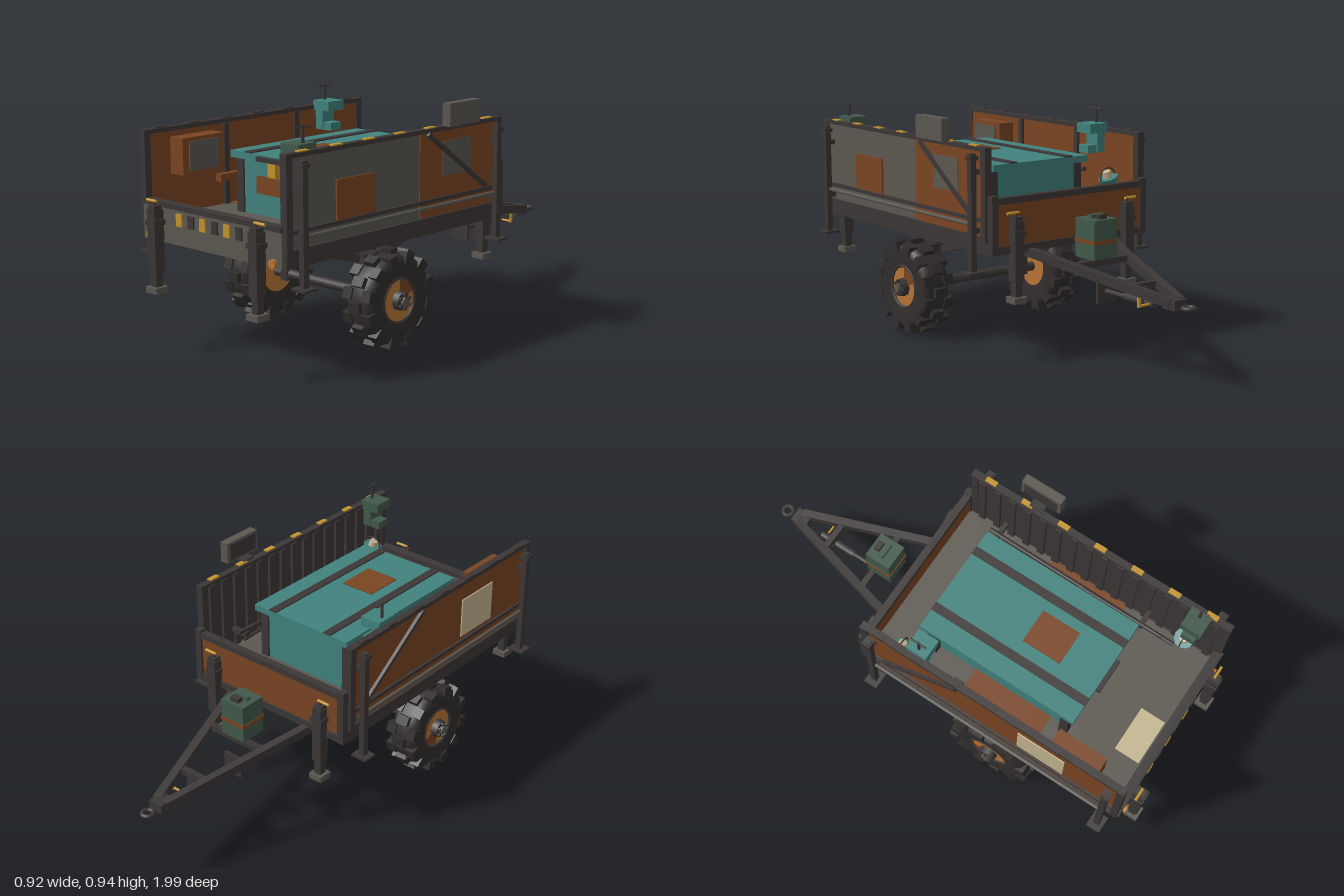
import * as THREE from 'three';

const make = (name, color) => {
  const m = new THREE.MeshStandardMaterial({ color });
  m.name = name;
  return m;
};

export function createModel() {
  const root = new THREE.Group();
  root.name = 'cargoTrailer';
  const dark = make('darkSteel', 0x3d3737), grey = make('greyPanel', 0x5b5850), rust = make('rust', 0x7a4522),
    orange = make('orangePaint', 0xb87436), teal = make('tealPaint', 0x41827d), green = make('greenPaint', 0x41594a),
    yellow = make('yellowPaint', 0xc4942e), cream = make('cream', 0xc4b590), tyre = make('tyreRubber', 0x312d2c);

  const add = (name, geo, mat, x = 0, y = 0, z = 0, parent = root) => {
    const m = new THREE.Mesh(geo, mat);
    m.name = name;
    m.position.set(x, y, z);
    parent.add(m);
    return m;
  };
  // box given by its limits on each axis
  const box = (name, mat, x0, x1, y0, y1, z0, z1, parent = root) =>
    add(name, new THREE.BoxGeometry(Math.abs(x1 - x0), y1 - y0, z1 - z0), mat, (x0 + x1) / 2, (y0 + y1) / 2, (z0 + z1) / 2, parent);
  // square bar between two points
  const bar = (name, mat, a, b, w, h = w, parent = root) => {
    const p = new THREE.Vector3(...a), q = new THREE.Vector3(...b);
    const m = add(name, new THREE.BoxGeometry(w, h, p.distanceTo(q)), mat, 0, 0, 0, parent);
    m.position.copy(p).lerp(q, 0.5);
    m.lookAt(q);
    return m;
  };
  const rod = (name, mat, a, b, r, parent = root) => {
    const p = new THREE.Vector3(...a), q = new THREE.Vector3(...b);
    const m = add(name, new THREE.CylinderGeometry(r, r, p.distanceTo(q), 10), mat, 0, 0, 0, parent);
    m.position.copy(p).lerp(q, 0.5);
    m.quaternion.setFromUnitVectors(new THREE.Vector3(0, 1, 0), q.sub(p).normalize());
    return m;
  };

  // Deck and underframe
  box('deck', grey, -0.38, 0.38, 0.48, 0.5, -0.27, 0.92);
  box('deckPatchTop', rust, -0.37, 0.37, 0.5, 0.504, 0.14, 0.5);
  box('deckPatchBottom', rust, -0.19, 0.19, 0.476, 0.48, 0.14, 0.5);
  box('floorCreamPatch', cream, -0.17, 0.03, 0.5, 0.505, 0.78, 0.89);
  for (const s of [-1, 1]) {
    box('sideRail', dark, s * 0.35, s * 0.39, 0.43, 0.48, -0.27, 0.92);
    box('chassisRail', dark, s * 0.2, s * 0.235, 0.42, 0.48, -0.27, 0.92);
  }
  for (const z of [-0.2, 0.06, 0.33, 0.58, 0.82]) box('crossMember', dark, -0.36, 0.36, 0.435, 0.48, z - 0.018, z + 0.018);

  // Front bumper with warning blocks and round reflectors
  box('frontBeam', grey, -0.38, 0.38, 0.43, 0.565, 0.905, 0.935);
  box('frontBeamCap', dark, -0.38, 0.38, 0.565, 0.585, 0.9, 0.94);
  for (let i = 0; i < 6; i++) {
    const x = -0.168 + i * 0.066;
    box('warningBlock', i % 2 ? dark : yellow, x - 0.016, x + 0.016, 0.505, 0.553, 0.935, 0.942);
  }
  for (const s of [-1, 1]) {
    add('reflector', new THREE.CylinderGeometry(0.018, 0.018, 0.014, 12), orange, s * 0.338, 0.448, 0.94).rotation.x = Math.PI / 2;
  }

  // Tailgate
  box('tailgate', rust, -0.37, 0.37, 0.45, 0.63, -0.285, -0.268);
  box('tailgateTopRail', dark, -0.38, 0.38, 0.625, 0.65, -0.292, -0.262);
  box('tailgateBottomRail', dark, -0.38, 0.38, 0.43, 0.46, -0.292, -0.262);
  for (const s of [-1, 1]) box('tailgatePost', dark, s * 0.36, s * 0.39, 0.43, 0.66, -0.295, -0.262);

  // Side walls
  for (const s of [-1, 1]) {
    const wall = new THREE.Group();
    wall.name = s > 0 ? 'leftWall' : 'rightWall';
    root.add(wall);
    const wb = (n, m, x0, x1, ...r) => box(n, m, s * x0, s * x1, ...r, wall);
    wb('outerPanel', s > 0 ? grey : rust, 0.383, 0.391, 0.485, 0.835, -0.255, 0.92);
    wb('innerPanel', s > 0 ? dark : rust, 0.376, 0.383, 0.485, 0.835, -0.255, 0.92);
    wb('topRail', dark, 0.37, 0.4, 0.828, 0.845, -0.265, 0.93);
    wb('bottomRail', dark, 0.37, 0.402, 0.48, 0.5, -0.265, 0.93);
    wb('middleRail', dark, 0.39, 0.402, 0.555, 0.57, -0.25, 0.92);
    for (const z of [-0.25, 0.915]) wb('endPost', dark, 0.37, 0.402, 0.48, 0.845, z - 0.015, z + 0.015);
    bar('diagonalBrace', dark, [s * 0.4, 0.825, 0.18], [s * 0.4, 0.575, -0.17], 0.014, 0.016, wall);
    if (s > 0) {
      wb('rustPatchLarge', rust, 0.391, 0.395, 0.485, 0.828, -0.245, 0.22);
      wb('greyPatch', grey, 0.395, 0.398, 0.65, 0.785, -0.08, 0.09);
      wb('rustPatchSmall', rust, 0.391, 0.398, 0.57, 0.72, 0.47, 0.675);
      for (let i = 0; i < 16; i++) wb('innerRib', dark, 0.364, 0.377, 0.5, 0.83, -0.225 + i * 0.072, -0.195 + i * 0.072);
    } else {
      wb('creamPatch', cream, 0.391, 0.396, 0.585, 0.755, 0.46, 0.67);
      for (const z of [0.13, 0.52]) wb('innerPost', dark, 0.364, 0.377, 0.5, 0.83, z - 0.012, z + 0.012);
    }
    for (let i = 0; i < 7; i++) {
      const z = -0.18 + i * 0.17;
      wb('railTab', s > 0 ? yellow : dark, 0.378, 0.4, 0.845, 0.85, z - 0.025, z + 0.025);
    }
    // outrigger posts with flat feet, and the tube joining them
    for (const z of [-0.21, 0.87]) {
      wb('outriggerPost', dark, 0.412, 0.436, 0.36, 0.82, z - 0.013, z + 0.013);
      wb('outriggerFoot', dark, 0.388, 0.46, 0.352, 0.362, z - 0.03, z + 0.03);
      wb('outriggerCollar', dark, 0.405, 0.442, 0.795, 0.81, z - 0.018, z + 0.018);
      for (const y of [0.51, 0.74]) wb('outriggerBracket', dark, 0.39, 0.415, y, y + 0.02, z - 0.012, z + 0.012);
    }
    rod('outriggerTube', grey, [s * 0.42, 0.545, -0.21], [s * 0.42, 0.545, 0.87], 0.008, wall);
  }

  // Corner jacks
  for (const s of [-1, 1]) for (const z of [0.962, -0.302]) {
    const d = Math.sign(z);
    box('jackTube', dark, s * 0.258, s * 0.302, 0.32, 0.56, z - 0.022, z + 0.022);
    box('jackCap', dark, s * 0.262, s * 0.298, 0.56, 0.575, z - 0.018, z + 0.018);
    box('jackCollar', dark, s * 0.252, s * 0.308, 0.5, 0.52, z - 0.027, z + 0.027);
    box('jackInner', dark, s * 0.264, s * 0.296, 0.255, 0.33, z - 0.016, z + 0.016);
    box('jackFoot', grey, s * 0.25, s * 0.31, 0.236, 0.26, z - 0.03, z + 0.03);
    box('jackMount', dark, s * 0.262, s * 0.298, 0.44, 0.48, Math.min(z, z - d * 0.04), Math.max(z, z - d * 0.04));
    rod('jackCrank', yellow, [s * 0.27, 0.59, z], [s * 0.325, 0.59, z], 0.006);
    rod('jackCrankStem', dark, [s * 0.28, 0.57, z], [s * 0.28, 0.592, z], 0.006);
  }

  // Axle, suspension and wheels
  rod('axle', dark, [-0.3, 0.2, 0.33], [0.3, 0.2, 0.33], 0.02);
  const tyreProfile = [[0.085, -0.055], [0.15, -0.066], [0.17, -0.055], [0.18, -0.03], [0.18, 0.03], [0.17, 0.055], [0.15, 0.066], [0.085, 0.055]]
    .map(p => new THREE.Vector2(...p));
  for (const s of [-1, 1]) {
    box('axleHanger', dark, s * 0.203, s * 0.241, 0.175, 0.43, 0.305, 0.355);
    for (const d of [-1, 1]) bar('suspensionArm', dark, [s * 0.222, 0.35, 0.33 + d * 0.06], [s * 0.222, 0.405, 0.33 + d * 0.25], 0.035, 0.03);

    const wheel = new THREE.Group();
    wheel.name = 'wheel';
    wheel.position.set(s * 0.335, 0.2, 0.33);
    wheel.rotation.z = -s * Math.PI / 2;
    root.add(wheel);
    add('tyre', new THREE.LatheGeometry(tyreProfile, 36), tyre, 0, 0, 0, wheel);
    add('rim', new THREE.CylinderGeometry(0.088, 0.088, 0.1, 28), orange, 0, 0, 0, wheel);
    add('rimRing', new THREE.TorusGeometry(0.088, 0.007, 6, 28), dark, 0, 0.053, 0, wheel).rotation.x = Math.PI / 2;
    add('rimRustPatch', new THREE.CylinderGeometry(0.08, 0.08, 0.004, 10, 1, false, Math.PI * 1.1, 1.2), rust, 0, 0.052, 0, wheel);
    add('hub', new THREE.CylinderGeometry(0.036, 0.04, 0.03, 8), dark, 0, 0.062, 0, wheel);
    add('hubCap', new THREE.CylinderGeometry(0.018, 0.018, 0.02, 8), grey, 0, 0.08, 0, wheel);
    for (let i = 0; i < 6; i++) {
      const a = i * Math.PI / 3;
      add('wheelNut', new THREE.CylinderGeometry(0.006, 0.006, 0.014, 6), dark, Math.cos(a) * 0.028, 0.082, Math.sin(a) * 0.028, wheel);
    }
    for (let i = 0; i < 24; i++) {
      const spin = new THREE.Group();
      spin.rotation.y = i * Math.PI / 12;
      wheel.add(spin);
      if (i % 2) for (const e of [-1, 1]) box('shoulderLug', tyre, 0.145, 0.187, Math.min(e * 0.026, e * 0.07), Math.max(e * 0.026, e * 0.07), -0.022, 0.022, spin);
      else box('centreLug', tyre, 0.165, 0.199, -0.027, 0.027, -0.02, 0.02, spin);
    }
  }

  // Drawbar, coupler and stowed jockey jack
  for (const s of [-1, 1]) bar('drawbar', dark, [s * 0.21, 0.43, -0.25], [s * 0.022, 0.31, -0.9], 0.034, 0.034);
  box('drawbarCross', dark, -0.14, 0.14, 0.378, 0.403, -0.49, -0.465);
  box('drawbarFrontCross', dark, -0.075, 0.075, 0.33, 0.355, -0.735, -0.71);
  box('coupler', dark, -0.032, 0.032, 0.285, 0.325, -0.93, -0.86);
  add('towRing', new THREE.TorusGeometry(0.022, 0.009, 8, 16), dark, 0, 0.3, -0.97).rotation.x = Math.PI / 2;
  box('jockeyPlate', dark, -0.048, 0.042, 0.235, 0.322, -0.508, -0.495);
  rod('jockeyTube', dark, [0, 0.28, -0.5], [0, 0.28, -0.66], 0.01);
  rod('jockeySleeve', dark, [0, 0.28, -0.62], [0, 0.28, -0.79], 0.016);
  box('jockeyBracket', dark, -0.02, 0.02, 0.26, 0.34, -0.74, -0.715);
  rod('jockeyCrank', yellow, [0.065, 0.275, -0.77], [0.065, 0.315, -0.77], 0.007);
  rod('jockeyCrankArm', yellow, [0, 0.28, -0.77], [0.065, 0.28, -0.77], 0.005);

  // Jerrican standing on the drawbar
  box('jerrican', green, -0.058, 0.055, 0.405, 0.56, -0.5, -0.385);
  box('jerricanStrap', rust, -0.061, 0.058, 0.465, 0.48, -0.503, -0.382);
  box('jerricanHandle', green, -0.035, 0.03, 0.56, 0.575, -0.45, -0.43);
  box('jerricanCap', dark, -0.02, 0.02, 0.56, 0.578, -0.485, -0.46);

  // Chest with lid, straps, latch and patches
  box('chestBody', teal, -0.2, 0.2, 0.5, 0.72, -0.06, 0.58);
  box('chestLid', teal, -0.242, 0.238, 0.718, 0.745, -0.098, 0.612);
  for (const s of [-1, 1]) {
    for (const z of [-0.05, 0.57]) box('chestCorner', dark, s * 0.196, s * 0.233, 0.5, 0.712, z - 0.018, z + 0.018);
    box('lidStrap', dark, s * 0.124, s * 0.16, 0.745, 0.75, -0.099, 0.613);
  }
  box('lidPatch', rust, -0.07, 0.08, 0.745, 0.749, 0.27, 0.44);
  box('chestFrontPatch', rust, -0.125, 0.065, 0.585, 0.655, 0.58, 0.585);
  box('chestHandle', dark, -0.078, 0.072, 0.722, 0.74, 0.612, 0.63);
  box('chestLatch', yellow, -0.025, 0.018, 0.665, 0.722, 0.58, 0.62);

  // Clamps on the wall tops: teal on the right, green on the left
  for (const [s, z, mat, name] of [[-1, -0.02, teal, 'tealClamp'], [1, 0.8, green, 'greenClamp']]) {
    box(name + 'Head', mat, s * 0.285, s * 0.375, 0.825, 0.865, z - 0.045, z + 0.045);
    box(name + 'Body', mat, s * 0.33, s * 0.37, 0.745, 0.865, z - 0.035, z + 0.035);
    box(name + 'Jaw', mat, s * 0.285, s * 0.37, 0.742, 0.775, z - 0.03, z + 0.03);
    rod(name + 'Screw', dark, [s * 0.352, 0.86, z], [s * 0.352, 0.93, z], 0.006);
    rod(name + 'Bar', dark, [s * 0.352, 0.922, z - 0.035], [s * 0.352, 0.922, z + 0.035], 0.004);
  }

  // Hanging buckets with cream contents
  for (const [s, z] of [[-1, -0.13], [1, 0.78]]) {
    const bucket = new THREE.Group();
    bucket.name = 'bucket';
    bucket.position.set(s * 0.336, 0.62, z);
    bucket.rotation.z = s * 0.35;
    root.add(bucket);
    add('bucketShell', new THREE.CylinderGeometry(0.042, 0.024, 0.06, 12), teal, 0, 0, 0, bucket);
    add('bucketContents', new THREE.CylinderGeometry(0.018, 0.022, 0.035, 10), cream, 0, 0.04, 0, bucket);
    add('bucketHandle', new THREE.TorusGeometry(0.04, 0.003, 6, 14, Math.PI), dark, 0, 0.03, 0, bucket);
  }

  // Wall cabinet, stowed poles and outer lamp box
  box('wallCabinet', rust, -0.376, -0.302, 0.66, 0.805, 0.59, 0.8);
  box('wallCabinetDoor', grey, -0.302, -0.296, 0.675, 0.79, 0.62, 0.77);
  box('wallTool', rust, -0.365, -0.335, 0.6, 0.63, 0.18, 0.58);
  box('wallBracket', dark, -0.372, -0.33, 0.68, 0.72, 0.13, 0.17);
  rod('wallPole', dark, [-0.35, 0.66, 0.05], [-0.35, 0.61, 0.57], 0.009);
  rod('longPole', dark, [0.305, 0.6, -0.13], [0.31, 0.56, 0.75], 0.009);
  rod('secondPole', dark, [0.32, 0.54, -0.08], [0.29, 0.62, 0.7], 0.007);
  for (const z of [-0.09, 0.6]) box('poleBracket', dark, 0.29, 0.37, 0.57, 0.59, z - 0.01, z + 0.01);
  box('lampBox', grey, 0.42, 0.458, 0.852, 0.942, -0.06, 0.12);
  box('lampBoxBack', dark, 0.416, 0.42, 0.862, 0.932, -0.045, 0.105);
  box('lampBracket', dark, 0.385, 0.458, 0.846, 0.853, 0.0, 0.06);
  return root;
}
